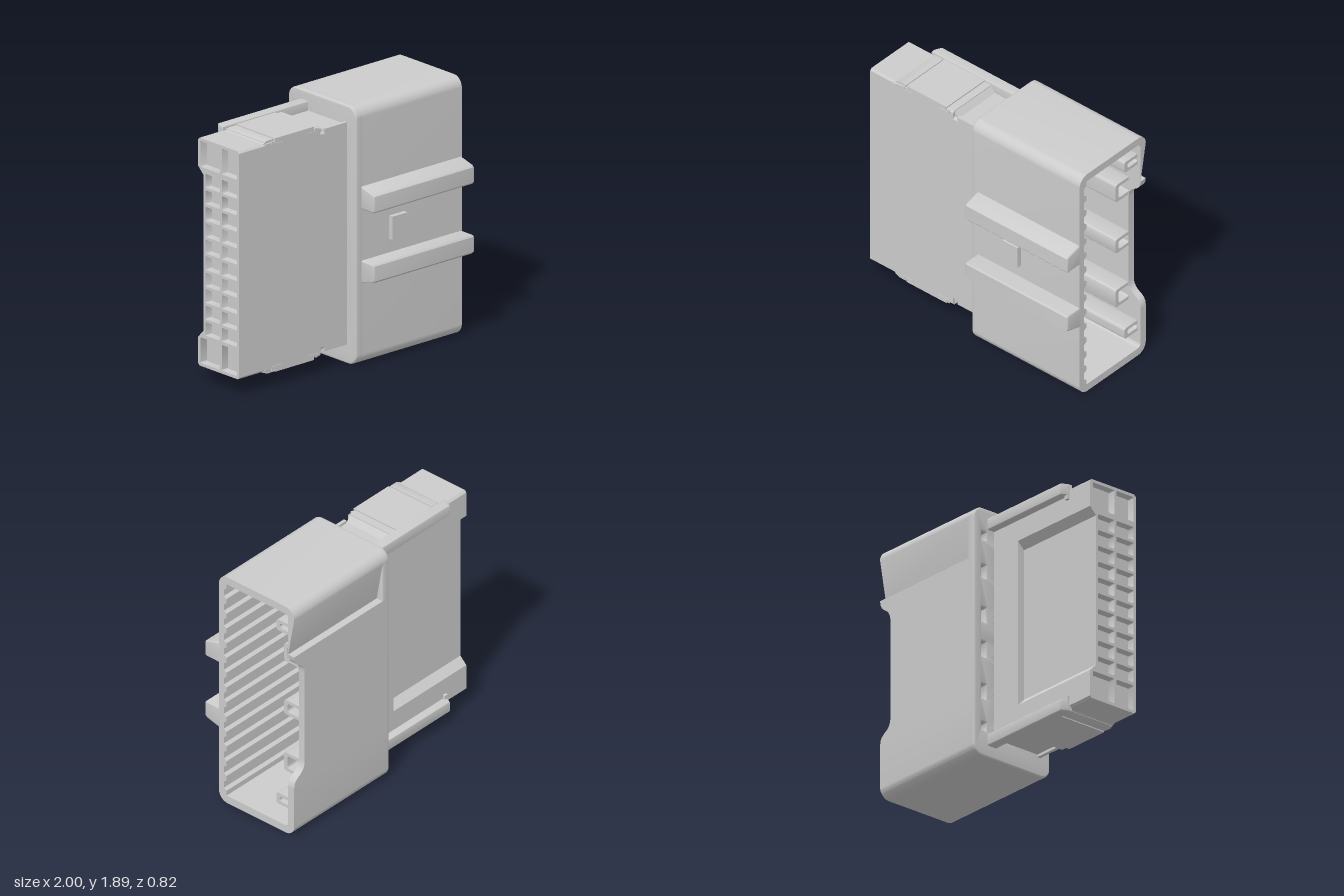
import * as THREE from 'three';
import { toCreasedNormals } from 'three/addons/utils/BufferGeometryUtils.js';

const MID = 0.945; // height of the mirror plane of the shell
const BODY_MID = 0.955; // height of the mirror plane of the body
const rows = Array.from({ length: 10 }, (_, i) => 0.405 + i * 0.1205);

export function createModel() {
  const model = new THREE.Group();
  const material = new THREE.MeshStandardMaterial({ color: 0xcccccc });

  const add = (name, geometry) => {
    const mesh = new THREE.Mesh(geometry, material);
    mesh.name = name;
    model.add(mesh);
    return mesh;
  };
  const poly = (pts) => new THREE.Shape(pts.map(([a, b]) => new THREE.Vector2(a, b)));
  const rect = (u0, v0, u1, v1, r = 0.01) => {
    const s = new THREE.Shape();
    s.absarc(u1 - r, v1 - r, r, 0, Math.PI / 2);
    s.absarc(u0 + r, v1 - r, r, Math.PI / 2, Math.PI);
    s.absarc(u0 + r, v0 + r, r, Math.PI, Math.PI * 1.5);
    s.absarc(u1 - r, v0 + r, r, Math.PI * 1.5, Math.PI * 2);
    s.closePath();
    return s;
  };
  const extrude = (shape, from, to, bevel = 0) => {
    const g = new THREE.ExtrudeGeometry(shape, {
      depth: to - from - 2 * bevel, curveSegments: 8, bevelEnabled: bevel > 0,
      bevelSize: bevel, bevelThickness: bevel, bevelOffset: -bevel, bevelSegments: 3,
    });
    g.translate(0, 0, from + bevel);
    return g;
  };
  // Cross-sections use (u, y) with u = -z and run along x
  const alongX = (name, shape, x0, x1, bevel) =>
    add(name, toCreasedNormals(extrude(shape, x0, x1, bevel).rotateY(Math.PI / 2), 0.6));
  const alongZ = (name, shape, z0, z1, bevel) =>
    add(name, toCreasedNormals(extrude(shape, z0, z1, bevel), 0.6));
  const box = (name, x0, x1, y0, y1, z0, z1) => {
    const g = new THREE.BoxGeometry(x1 - x0, y1 - y0, z1 - z0);
    return add(name, g.translate((x0 + x1) / 2, (y0 + y1) / 2, (z0 + z1) / 2));
  };

  // Shell: three walls as one C-shaped section, with ribs on the inner front face
  const c = new THREE.Shape();
  const R = 0.08, r = 0.03;
  c.moveTo(0.415, 1.5);
  c.absarc(0.415 - R, 1.89 - R, R, 0, Math.PI / 2);
  c.absarc(-0.28 + R, 1.89 - R, R, Math.PI / 2, Math.PI);
  c.absarc(-0.28 + R, R, R, Math.PI, Math.PI * 1.5);
  c.absarc(0.415 - R, R, R, Math.PI * 1.5, Math.PI * 2);
  c.lineTo(0.415, 0.4);
  c.lineTo(0.36, 0.4);
  c.absarc(0.36 - r, 0.06 + r, r, 0, -Math.PI / 2, true);
  c.lineTo(-0.21, 0.06);
  for (let i = 0; i < 14; i++) {
    const y = 0.1 + i * 0.1235;
    c.lineTo(-0.21, y);
    c.lineTo(-0.235, y + 0.015);
    c.lineTo(-0.235, y + 0.07);
    c.lineTo(-0.21, y + 0.085);
  }
  c.lineTo(-0.21, 1.83);
  c.absarc(0.36 - r, 1.83 - r, r, Math.PI / 2, 0, true);
  c.lineTo(0.36, 1.5);
  c.closePath();
  alongX('shellWalls', c, 0.03, 1);

  // Back wall of the shell with its wide notch at the open end
  const wall = new THREE.Shape();
  wall.moveTo(0.03, 0.4);
  wall.lineTo(1, 0.4);
  wall.bezierCurveTo(1, 0.5, 0.89, 0.46, 0.89, 0.58);
  wall.lineTo(0.89, 1.31);
  wall.bezierCurveTo(0.89, 1.43, 1, 1.39, 1, 1.5);
  wall.lineTo(0.03, 1.5);
  alongZ('shellBackWall', wall, -0.415, -0.36);

  // Floor of the shell with terminal pockets and slots
  const floor = rect(-0.28, 0, 0.415, 1.89, R);
  for (const y of rows) {
    for (const u of [-0.13, 0.035]) {
      const pocket = new THREE.Path();
      pocket.moveTo(u, y - 0.04);
      pocket.lineTo(u + 0.08, y - 0.04);
      pocket.lineTo(u + 0.085, y - 0.05);
      pocket.absarc(u + 0.1, y, 0.05, -Math.PI / 2, Math.PI / 2);
      pocket.lineTo(u + 0.08, y + 0.04);
      pocket.lineTo(u, y + 0.04);
      pocket.closePath();
      floor.holes.push(pocket);
      box('terminal', 0.01, 0.065, y - 0.025, y + 0.025, -u - 0.075, -u - 0.015);
    }
  }
  const slots = [[0.2, 0.26], [0.44, 0.55], [0.76, 0.875], [1.025, 1.135], [1.36, 1.46], [1.65, 1.71]];
  for (const [y0, y1] of slots) floor.holes.push(rect(0.305, y0, 0.345, y1, 0.005));
  alongX('shellFloor', floor, 0.01, 0.08, 0.012);

  // Hollow guide pillars on the inside of the back wall
  const pillars = [[0.185, 0.275, 0.97], [0.42, 0.57, 0.89], [0.89, 1.01, 0.89], [1.335, 1.485, 0.89], [1.635, 1.725, 0.97]];
  for (const [y0, y1, end] of pillars) {
    const p = rect(0.225, y0, 0.38, y1, 0.018);
    p.holes.push(rect(0.255, y0 + 0.025, 0.362, y1 - 0.025, 0.018));
    alongX('guidePillar', p, 0.07, end);
    box('guidePillarPlug', 0.07, 0.75, y0 + 0.015, y1 - 0.015, -0.37, -0.245);
  }

  // Pair of outer rails and the small stop between them
  for (const s of [1, -1]) {
    const y = (d) => MID + 0.008 + s * d;
    alongX('frontRail', poly([[-0.26, y(0.36)], [-0.28, y(0.355)], [-0.395, y(0.325)], [-0.41, y(0.31)],
      [-0.41, y(0.2)], [-0.4, y(0.188)], [-0.26, y(0.188)]]), 0.06, 1, 0.012);
  }
  alongZ('frontStop', poly([[0.32, 0.865], [0.46, 0.865], [0.46, 1.035], [0.32, 1.035]]), 0.27, 0.315);

  // Body: sections along x, with half height h, and optionally a recessed back
  const section = (h, recessed) => {
    const t = BODY_MID + h, b = BODY_MID - h;
    const back = recessed ? [[0.23, 0.33], [0.175, 0.385], [0.175, 1.525], [0.23, 1.58]] : [];
    return poly([[-0.175, b], [0.215, b], [0.23, b + 0.015], ...back, [0.23, t - 0.015],
      [0.215, t], [-0.175, t], [-0.19, t - 0.015], [-0.19, b + 0.015]]);
  };
  alongX('bodyRear', section(0.835, true), -0.94, -0.75);
  alongX('bodyMiddle', section(0.845, true), -0.76, -0.24);
  alongX('bodyNeck', section(0.795, false), -0.24, 0.02);

  // Wire entry face with two columns of cells
  const face = section(0.835, true);
  for (const [u0, u1] of [[-0.168, -0.012], [0.008, 0.155]]) {
    for (const y of rows) face.holes.push(rect(u0, y - 0.05, u1, y + 0.05, 0.008));
    const wide = u1 > 0.1 ? 0.205 : u1;
    face.holes.push(rect(u0, 0.142, wide, 0.33, 0.008), rect(u0, 1.58, wide, 1.768, 0.008));
  }
  alongX('wireEntryFace', face, -1, -0.94);

  // Matching fittings on the top and bottom of the body
  for (const s of [1, -1]) {
    const y = (d) => BODY_MID + s * d;
    const span = (name, x0, x1, d0, d1, z0, z1) =>
      box(name, x0, x1, Math.min(y(d0), y(d1)), Math.max(y(d0), y(d1)), z0, z1);

    alongZ('neckRamp', poly([[-0.26, y(0.845)], [-0.245, y(0.845)], [-0.2, y(0.79)], [-0.26, y(0.79)]]), -0.22, 0.17);
    alongZ('latchPlate', poly([[-0.665, y(0.83)], [-0.665, y(0.855)], [-0.3, y(0.855)], [-0.3, y(0.83)]]), -0.235, 0.19);
    alongZ('latchRamp', poly([[-0.78, y(0.83)], [-0.74, y(0.853)], [-0.675, y(0.853)], [-0.675, y(0.83)]]), -0.2, 0.185);
    span('neckLip', -0.2, 0.02, 0.78, 0.815, 0.165, 0.19);

    // Clip edges beside the latch plate
    for (const x of [-0.69, -0.28]) {
      const dir = x < -0.5 ? 1 : -1;
      span('clipStem', x - 0.008, x + 0.008, 0.815, 0.84, 0.18, 0.194);
      span('clipFoot', Math.min(x, x + dir * 0.09), Math.max(x, x + dir * 0.09), 0.81, 0.82, 0.18, 0.194);
    }

    // Back guide rail with a tapered end
    const rail = extrude(poly([[-0.785, -0.21], [-0.785, -0.24], [-0.76, -0.29], [0.02, -0.29], [0.02, -0.21]]), 0, 0.085, 0.006);
    rail.rotateX(Math.PI / 2).translate(0, s > 0 ? y(0.865) : y(0.78), 0);
    add('backGuideRail', toCreasedNormals(rail, 0.6));
    span('guideRailHook', -0.785, -0.755, 0.75, 0.85, -0.25, -0.215);
  }

  return model;
}
